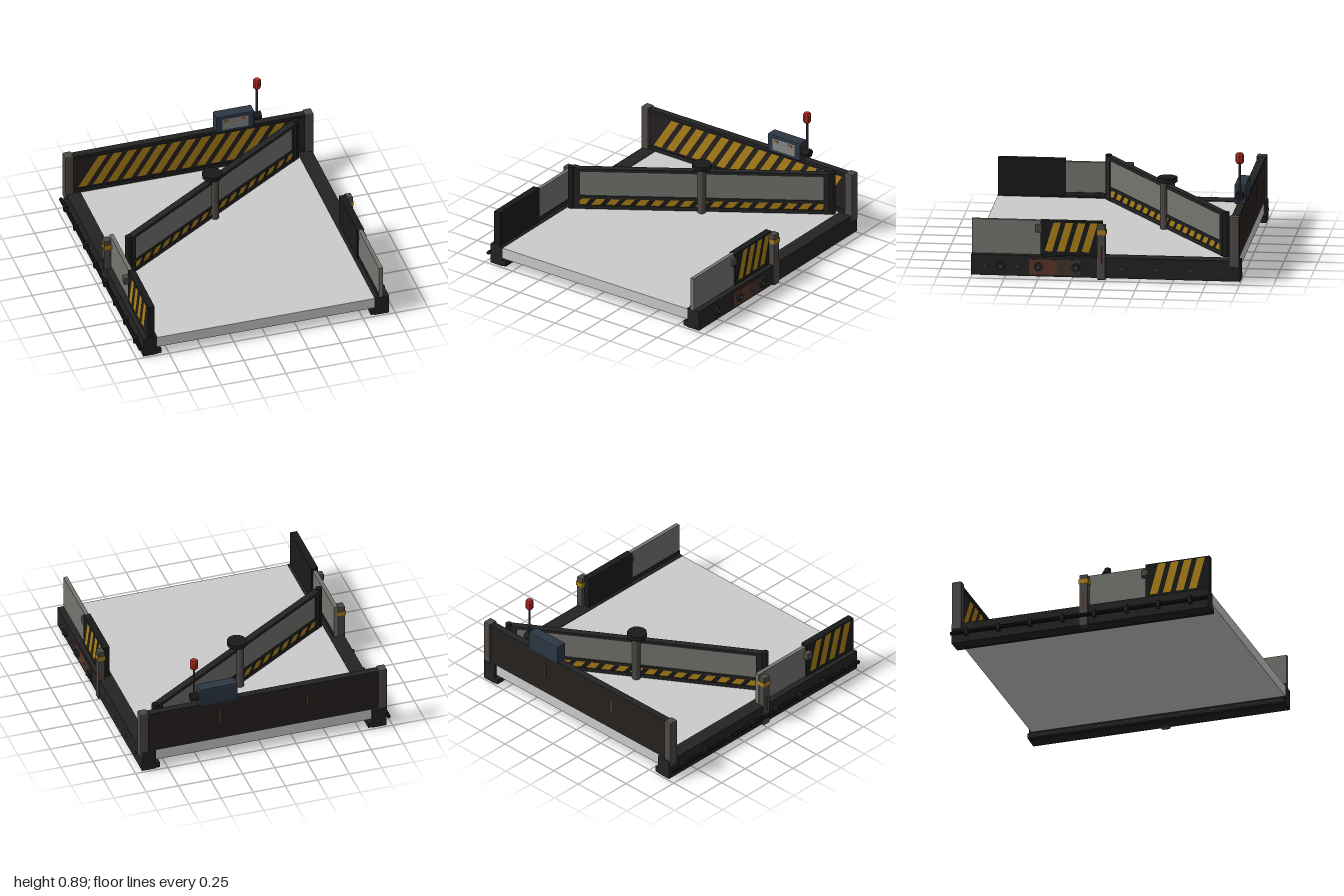
import * as THREE from 'three';
import { RoundedBoxGeometry } from 'three/addons/geometries/RoundedBoxGeometry.js';

const paint = (color) => new THREE.MeshStandardMaterial({ color, flatShading: true });
const M = {
  floor: paint(0xcccccc), dark: paint(0x222322), black: paint(0x191b1b), wall: paint(0x26211f),
  post: paint(0x4d4945), pane: paint(0x73756f), yellow: paint(0xad8118), red: paint(0xb02a22),
  blue: paint(0x2d3745), screen: paint(0x858a86), orange: paint(0xb0702a), rust: paint(0x5a3526),
  brown: paint(0x40332c),
};

function add(parent, name, geometry, material, x = 0, y = 0, z = 0) {
  const mesh = new THREE.Mesh(geometry, material);
  mesh.name = name;
  mesh.position.set(x, y, z);
  parent.add(mesh);
  return mesh;
}

// Box given by its lower and upper limits on each axis; a bevel radius softens its edges
function box(parent, name, mat, x0, x1, y0, y1, z0, z1, bevel = 0) {
  const s = [x1 - x0, y1 - y0, z1 - z0];
  const geo = bevel ? new RoundedBoxGeometry(...s, 1, bevel) : new THREE.BoxGeometry(...s);
  return add(parent, name, geo, mat, (x0 + x1) / 2, (y0 + y1) / 2, (z0 + z1) / 2);
}

// Cylinder centred at a point and running along one axis
function rod(parent, name, mat, r, length, axis, x, y, z, sides = 12) {
  const mesh = add(parent, name, new THREE.CylinderGeometry(r, r, length, sides), mat, x, y, z);
  if (axis === 'x') mesh.rotation.z = Math.PI / 2;
  if (axis === 'z') mesh.rotation.x = Math.PI / 2;
  return mesh;
}

// Row of slanted warning stripes filling a w by h field that faces +z
function stripes(parent, w, h, count, lean) {
  const shapes = [];
  const pitch = (w - lean) / count;
  for (let i = 0; i < count; i++) {
    const a = -w / 2 + pitch * (i + 0.2), b = a + pitch * 0.6;
    shapes.push(new THREE.Shape([[a, -h / 2], [b, -h / 2], [b + lean, h / 2], [a + lean, h / 2]]
      .map(([x, y]) => new THREE.Vector2(x, y))));
  }
  return add(parent, 'warningStripes', new THREE.ShapeGeometry(shapes), M.yellow);
}

function buildBase(root) {
  const g = new THREE.Group();
  g.name = 'base';
  root.add(g);
  box(g, 'floorSlab', M.floor, -0.845, 0.845, 0.08, 0.165, -0.98, 1);
  for (const s of [-1, 1]) {
    const rail = box(g, 'sideRail', M.dark, -0.055, 0.055, 0.015, 0.17, -1, 1);
    rail.position.x = s * 0.895;
    const lip = box(g, 'railLip', M.dark, -0.02, 0.02, 0.02, 0.06, -1, 1);
    lip.position.x = s * 0.83;
    for (let i = 0; i < 9; i++) {
      rod(g, 'lipBolt', M.post, 0.008, 0.006, 'x', s * 0.809, 0.04, -0.88 + i * 0.22, 8);
    }
  }

  // Fittings on the left rail
  box(g, 'rustyPlate', M.rust, 0.948, 0.954, 0.03, 0.145, 0.36, 0.57);
  box(g, 'brownPlate', M.brown, 0.948, 0.954, 0.03, 0.145, 0.19, 0.36);
  for (const z of [0.22, 0.5, 0.78]) {
    rod(g, 'railKnob', M.dark, 0.032, 0.02, 'x', 0.962, 0.09, z);
    rod(g, 'knobCentre', M.post, 0.014, 0.024, 'x', 0.972, 0.09, z, 8);
  }
  for (const z of [-0.86, -0.63, -0.38, -0.12, 0.35, 0.66, 0.9]) {
    rod(g, 'railBolt', M.post, 0.009, 0.012, 'x', 0.954, 0.09, z, 8);
  }

  // Pipe and its clips on the right rail
  rod(g, 'sidePipe', M.black, 0.014, 2, 'z', -0.971, 0.085, 0, 10);
  for (let i = 0; i < 8; i++) {
    const z = -0.88 + i * 0.25;
    box(g, 'pipeClip', M.dark, -0.986, -0.945, 0.058, 0.112, z - 0.012, z + 0.012);
  }
}

function buildBackWall(root) {
  const g = new THREE.Group();
  g.name = 'backWall';
  root.add(g);
  box(g, 'wallPanel', M.wall, -0.92, 0.92, 0.165, 0.485, -0.98, -0.94);
  box(g, 'wallTopRail', M.dark, -0.92, 0.92, 0.475, 0.5, -0.985, -0.93);
  box(g, 'wallFoot', M.dark, -0.92, 0.92, 0.165, 0.195, -0.98, -0.93);
  stripes(g, 1.76, 0.25, 14, 0.16).position.set(0, 0.335, -0.937);
  for (const x of [-0.34, 0.34]) box(g, 'rustStreak', M.rust, x - 0.006, x + 0.006, 0.31, 0.42, -0.982, -0.98);
  for (const s of [-1, 1]) {
    const post = box(g, 'cornerPost', M.post, -0.033, 0.033, 0.12, 0.51, -0.995, -0.918, 0.01);
    post.position.x = s * 0.928;
  }
}

// Sliding barriers on one side: s is the side, the striped panel faces outward
function buildBarrier(root, s, paneZ, stripedZ, top) {
  const g = new THREE.Group();
  g.name = s > 0 ? 'leftBarrier' : 'rightBarrier';
  root.add(g);
  const slab = (name, mat, x0, x1, y1, [z0, z1]) =>
    box(g, name, mat, Math.min(s * x0, s * x1), Math.max(s * x0, s * x1), 0.17, y1, z0, z1);
  slab('panePanel', M.pane, 0.873, 0.903, 0.43, paneZ);
  slab('stripedPanel', M.black, 0.862, 0.915, top, stripedZ);
  slab('panelRib', M.dark, 0.867, 0.873, 0.2, paneZ);
  const w = stripedZ[1] - stripedZ[0];
  const marks = stripes(g, w - 0.03, top - 0.21, 4, 0.065);
  marks.position.set(s * 0.918, (top + 0.19) / 2, (stripedZ[0] + stripedZ[1]) / 2);
  marks.rotation.y = s * Math.PI / 2;

  // Post with a coloured band, and the clip where the panels meet
  const c = s * 0.935;
  box(g, 'sidePost', M.post, c - 0.027, c + 0.027, 0.002, 0.42, 0, 0.065, 0.008);
  box(g, 'postBand', M.yellow, c - 0.03, c + 0.03, 0.345, 0.38, -0.003, 0.068);
  box(g, 'postStreak', M.rust, c - 0.028, c + 0.028, 0.12, 0.26, 0.028, 0.037);
  const k = s > 0 ? 0.897 : -0.928;
  box(g, 'panelClip', M.post, k - 0.025, k + 0.025, 0.34, 0.4, 0.475, 0.53, 0.008);
}

function buildGate(root) {
  const g = new THREE.Group();
  g.name = 'turningGate';
  g.position.set(0, 0, -0.355);
  g.rotation.y = Math.atan2(1.05, 1.62);
  root.add(g);
  box(g, 'gateCore', M.black, -0.95, 0.95, 0.17, 0.495, -0.014, 0.014);
  box(g, 'gateTopRail', M.dark, -0.95, 0.95, 0.478, 0.502, -0.025, 0.025);
  box(g, 'gateMiddleRail', M.dark, -0.95, 0.95, 0.255, 0.278, -0.022, 0.022);
  box(g, 'gateBottomRail', M.dark, -0.95, 0.95, 0.17, 0.2, -0.022, 0.022);
  box(g, 'gatePane', M.pane, -0.9, 0.9, 0.28, 0.475, -0.018, 0.018);
  for (const s of [-1, 1]) {
    const marks = stripes(g, 1.9, 0.05, 17, 0.04);
    marks.position.set(0, 0.227, s * 0.018);
    if (s < 0) marks.rotation.y = Math.PI;
    rod(g, 'endPost', M.black, 0.025, 0.34, 'y', s * 0.965, 0.34, 0);
    box(g, 'endStile', M.dark, s * 0.925 - 0.022, s * 0.925 + 0.022, 0.17, 0.5, -0.024, 0.024);
    rod(g, 'centrePost', M.post, 0.031, 0.365, 'y', 0, 0.35, s * 0.028);
  }
  rod(g, 'centreCap', M.black, 0.074, 0.035, 'y', 0, 0.54, 0);
}

function buildControls(root) {
  const g = new THREE.Group();
  g.name = 'controls';
  root.add(g);
  box(g, 'controlBox', M.blue, 0.2, 0.5, 0.49, 0.64, -0.995, -0.905, 0.012);
  box(g, 'screen', M.screen, 0.25, 0.45, 0.52, 0.615, -0.91, -0.902);
  for (const x of [0.285, 0.41]) {
    box(g, 'indicator', M.orange, x - 0.015, x + 0.015, 0.585, 0.6, -0.905, -0.898);
  }
  rod(g, 'lampMount', M.black, 0.032, 0.06, 'x', 0.53, 0.56, -0.95);
  rod(g, 'lampStem', M.post, 0.009, 0.26, 'y', 0.53, 0.69, -0.95, 8);
  // Lamp with bevelled ends
  const profile = [[0, 0.81], [0.022, 0.81], [0.031, 0.822], [0.031, 0.878], [0.022, 0.89], [0, 0.89]]
    .map(([r, y]) => new THREE.Vector2(r, y));
  add(g, 'lamp', new THREE.LatheGeometry(profile, 8), M.red, 0.53, 0, -0.95);
}

export function createModel() {
  const root = new THREE.Group();
  root.name = 'barrierPlatform';
  buildBase(root);
  buildBackWall(root);
  buildBarrier(root, 1, [0.49, 1], [0.03, 0.49], 0.43);
  buildBarrier(root, -1, [0, 0.5], [0.5, 1], 0.45);
  buildGate(root);
  buildControls(root);
  return root;
}
